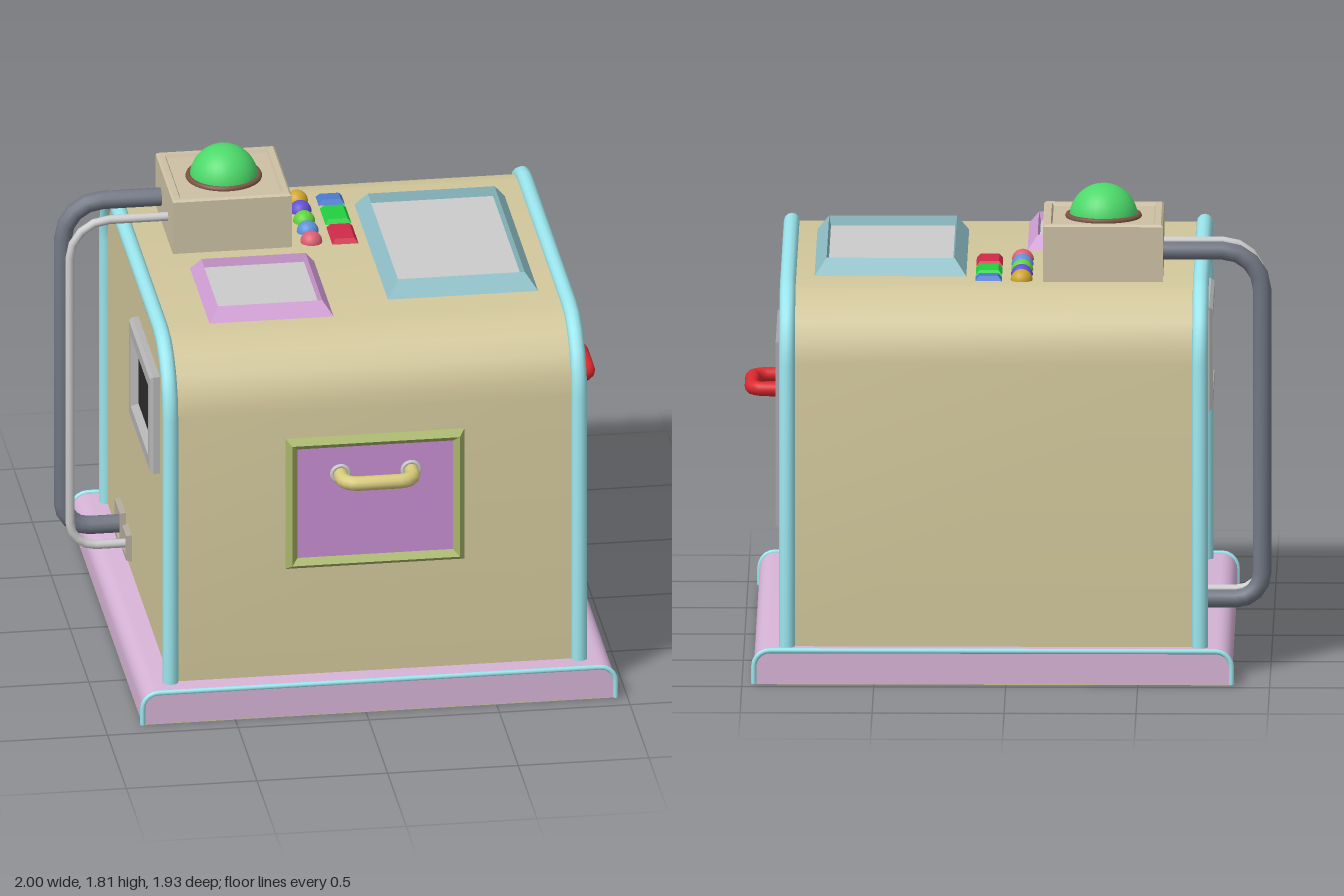
import * as THREE from 'three';
import { toCreasedNormals } from 'three/addons/utils/BufferGeometryUtils.js';

const V = (x, y, z) => new THREE.Vector3(x, y, z);
const TAN = 0xd2c79b, LILAC = 0xd6b3d6, CYAN = 0x9be6ee, GREY = 0xcccccc;

function mesh(parent, name, geometry, color, pos = [0, 0, 0]) {
  const m = new THREE.Mesh(geometry, new THREE.MeshStandardMaterial({ color }));
  m.name = name;
  m.position.set(...pos);
  parent.add(m);
  return m;
}

// Polyline with every right-angled inner corner replaced by an arc
function roundPath(pts, r, seg) {
  const out = [pts[0]];
  for (let i = 1; i < pts.length - 1; i++) {
    const p = pts[i];
    const d1 = pts[i - 1].clone().sub(p).setLength(r);
    const d2 = pts[i + 1].clone().sub(p).setLength(r);
    for (let k = 0; k <= seg; k++) {
      const a = (k / seg) * Math.PI / 2;
      out.push(p.clone().addScaledVector(d1, 1 - Math.sin(a)).addScaledVector(d2, 1 - Math.cos(a)));
    }
  }
  out.push(pts[pts.length - 1]);
  return out;
}

// Curve that visits each point exactly, with bisecting tangents
class PointPath extends THREE.Curve {
  constructor(pts) { super(); this.pts = pts; }
  getPoint(t) { return this.pts[Math.round(t * (this.pts.length - 1))].clone(); }
  getPointAt(t) { return this.getPoint(t); }
  getTangent(t) {
    const n = this.pts.length - 1, i = Math.round(t * n), dir = V(0, 0, 0);
    if (i > 0) dir.add(this.pts[i].clone().sub(this.pts[i - 1]).normalize());
    if (i < n) dir.add(this.pts[i + 1].clone().sub(this.pts[i]).normalize());
    return dir.normalize();
  }
  getTangentAt(t) { return this.getTangent(t); }
}
const tube = (pts, r, sides = 12) => new THREE.TubeGeometry(new PointPath(pts), pts.length - 1, r, sides);

// Rectangular frame facing +z: sections are [inset, height] from outside to inside
function frameGeometry(w, h, sections) {
  const ring = ([inset, z]) => [[-1, -1], [1, -1], [1, 1], [-1, 1]]
    .map(([x, y]) => [x * (w / 2 - inset), y * (h / 2 - inset), z]);
  const pos = [];
  for (let s = 0; s < sections.length - 1; s++) {
    const a = ring(sections[s]), b = ring(sections[s + 1]);
    for (let i = 0; i < 4; i++) {
      const j = (i + 1) % 4;
      pos.push(...a[i], ...a[j], ...b[j], ...a[i], ...b[j], ...b[i]);
    }
  }
  const g = new THREE.BufferGeometry();
  g.setAttribute('position', new THREE.Float32BufferAttribute(pos, 3));
  g.computeVertexNormals();
  return g;
}

// Frame plus the flat panel that closes its last section
function panel(parent, name, pos, w, h, sections, frameColor, panelColor) {
  const g = new THREE.Group();
  g.name = name;
  g.position.set(...pos);
  const [inset, z] = sections[sections.length - 1];
  mesh(g, name + 'Frame', frameGeometry(w, h, sections), frameColor);
  mesh(g, name + 'Face', new THREE.PlaneGeometry(w - 2 * inset, h - 2 * inset), panelColor, [0, 0, z]);
  parent.add(g);
  return g;
}

// Pull handle with a washer at each foot
function handle(parent, name, y, x, half, reach, foot, color) {
  const pts = roundPath([V(x - half, y, 0), V(x - half, y, reach), V(x + half, y, reach), V(x + half, y, 0)], 0.055, 4);
  mesh(parent, name, tube(pts, 0.028), color);
  for (const s of [-1, 1])
    mesh(parent, name + 'Washer', new THREE.TorusGeometry(0.032, 0.009, 6, 20), GREY, [x + s * half, y, foot]);
}

// Solid extruded from an outline, with smooth curves and sharp ends
function solid(points2, length) {
  const g = new THREE.ExtrudeGeometry(new THREE.Shape(points2), { depth: length, bevelEnabled: false });
  return toCreasedNormals(g, 0.6);
}

// Group whose local +z points out of one side of the body
function side(root, name, pos, rx, ry) {
  const g = new THREE.Group();
  g.name = name;
  g.position.set(...pos);
  g.rotation.set(rx, ry, 0);
  root.add(g);
  return g;
}

export function createModel() {
  const root = new THREE.Group();
  root.name = 'machine';

  // Base slab with rounded long edges and thin trim at both ends
  const basePts = roundPath([V(-0.855, 0.003, 0), V(-0.855, 0.13, 0), V(0.955, 0.13, 0), V(0.955, 0.003, 0)], 0.06, 5);
  mesh(root, 'base', solid(basePts.map(p => new THREE.Vector2(p.x, p.y)), 1.88), LILAC, [0, 0, -0.955]);
  mesh(root, 'underside', new THREE.BoxGeometry(1.81, 0.006, 1.88), TAN, [0.05, 0.003, -0.015]);
  for (const z of [-0.957, 0.927]) mesh(root, 'baseTrim', tube(basePts, 0.01, 8), CYAN, [0, 0, z]);

  // Body arch, with a round trim on each side
  const arch = roundPath([V(0, 0.12, 0.83), V(0, 1.48, 0.83), V(0, 1.48, -0.87), V(0, 0.12, -0.87)], 0.26, 5);
  const body = solid(arch.map(p => new THREE.Vector2(-p.z, p.y)), 1.565);
  mesh(root, 'body', body.rotateY(Math.PI / 2), TAN, [-0.735, 0, 0]);
  for (const x of [-0.735, 0.83]) mesh(root, 'bodyTrim', tube(arch, 0.03), CYAN, [x, 0, 0]);

  // Front hatch
  const front = side(root, 'front', [0, 0, 0.83], 0, 0);
  panel(front, 'frontHatch', [0.048, 0.84, 0], 0.685, 0.54, [[0, 0], [0.022, 0.03], [0.045, 0.005]], 0xa8b56a, 0xc88fd2);
  handle(front, 'frontHandle', 0.955, 0.05, 0.135, 0.107, 0.008, 0xd8cb7c);

  // Hatch on the left side
  const left = side(root, 'leftSide', [0.83, 0, 0], 0, Math.PI / 2);
  panel(left, 'sideHatch', [0.02, 0.84, 0], 0.64, 0.72,
    [[0, 0], [0, 0.035], [0.008, 0.05], [0.022, 0.05], [0.03, 0.03]], 0xa0a0a8, 0x7cb4d2);
  handle(left, 'sideHandle', 0.98, 0.02, 0.14, 0.142, 0.035, 0xdd2a30);

  // Dark window and pipe sockets on the right side
  const right = side(root, 'rightSide', [-0.735, 0, 0], 0, -Math.PI / 2);
  panel(right, 'window', [0.265, 1.07, 0], 0.57, 0.4,
    [[0, 0], [0, 0.025], [0.01, 0.038], [0.055, 0.038], [0.07, 0.01]], 0xb4b4b4, 0x2c2c2c);
  for (const [z, s] of [[-0.435, 0.15], [-0.25, 0.11]])
    panel(right, 'pipeSocket', [z, 0.23, 0], s, s, [[0, 0], [0.005, 0.022], [0.02, 0.022], [0.025, 0.006]], 0xb0a898, 0x8c8678);

  // Screens on the top
  const top = side(root, 'top', [0, 1.48, 0], -Math.PI / 2, 0);
  panel(top, 'smallScreen', [-0.308, -0.29, 0], 0.475, 0.52, [[0, 0], [0.038, 0.053], [0.045, 0.02]], 0xd29fd6, GREY);
  panel(top, 'largeScreen', [0.443, 0.022, 0], 0.575, 0.895, [[0, 0], [0.045, 0.062], [0.052, 0.025]], 0x8fc0c8, GREY);

  // Control buttons
  for (const [z, d, c] of [[-0.518, 0.085, 0x4a7ad0], [-0.372, 0.155, 0x22d040], [-0.192, 0.165, 0xd02a48]])
    panel(top, 'squareButton', [0.07, -z, 0], 0.1, d, [[0, 0], [0.014, 0.018]], c, c);
  [0xd0a52c, 0x6450d2, 0x62d23c, 0x6090dc, 0xdc6072].forEach((c, i) =>
    mesh(root, 'roundButton', new THREE.SphereGeometry(0.042, 20, 14), c, [-0.055, 1.48, -0.535 + i * 0.096]));

  // Lamp box with dome
  panel(top, 'lampBox', [-0.363, 0.34, 0], 0.455, 0.46,
    [[0, 0], [0, 0.212], [0.008, 0.22], [0.03, 0.22], [0.036, 0.208]], 0xcdc1a4, 0xcdc1a4);
  const ring = mesh(root, 'lampRing', new THREE.TorusGeometry(0.134, 0.012, 8, 32), 0x7c5444, [-0.363, 1.692, -0.34]);
  ring.rotation.x = Math.PI / 2;
  mesh(root, 'lampDome', new THREE.SphereGeometry(0.13, 28, 12, 0, Math.PI * 2, 0, Math.PI / 2), 0x4cd96a, [-0.363, 1.685, -0.34]);

  // Pipes from the lamp box down to the sockets
  for (const [name, z, r, c] of [['thickPipe', -0.435, 0.035, 0x727784], ['thinPipe', -0.25, 0.017, 0xbcbcbc]]) {
    const upper = roundPath([V(-0.57, 1.575, z), V(-0.965, 1.575, z), V(-0.965, 0.9, z)], 0.15, 4);
    const lower = roundPath([V(-0.965, 0.9, z), V(-0.965, 0.23, z), V(-0.72, 0.23, z)], 0.1, 4);
    mesh(root, name, tube([...upper, ...lower.slice(1)], r), c);
  }
  return root;
}
